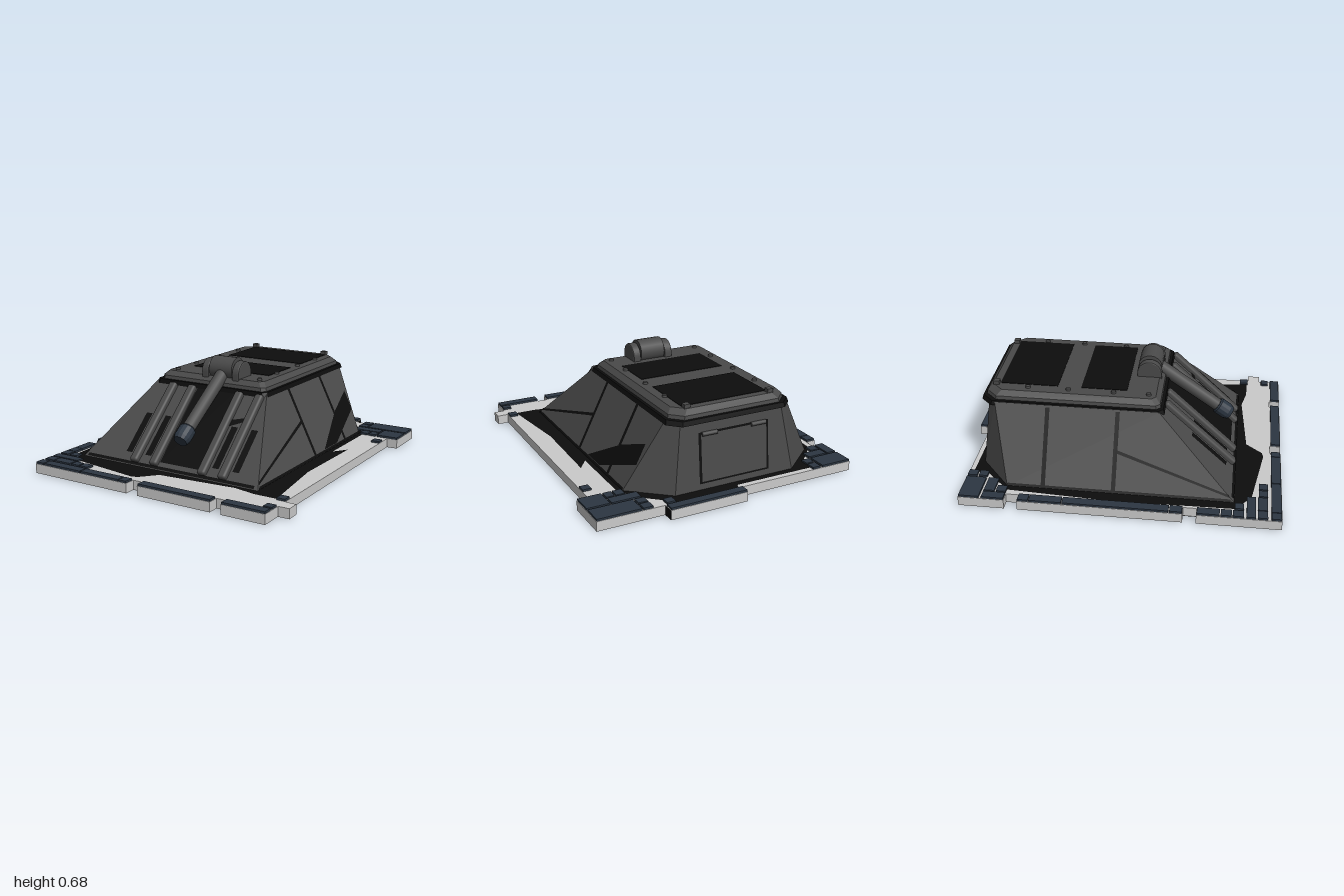
import * as THREE from 'three';
import { RoundedBoxGeometry } from 'three/addons/geometries/RoundedBoxGeometry.js';

const mat = (name, color, extra = {}) => {
  const m = new THREE.MeshStandardMaterial({ color, ...extra });
  m.name = name;
  return m;
};

export function createModel() {
  const model = new THREE.Group();
  model.name = 'armouredBunker';
  const steel = mat('darkSteel', 0x4a4a4a);
  const stone = mat('paleStone', 0xcacaca);
  const slate = mat('blueSlate', 0x2c3642);
  const black = mat('black', 0x0d0d0d, { side: THREE.DoubleSide });

  const add = (name, geo, m, x = 0, y = 0, z = 0, parent = model) => {
    const mesh = new THREE.Mesh(geo, m);
    mesh.name = name;
    mesh.position.set(x, y, z);
    parent.add(mesh);
    return mesh;
  };
  // Box given by its limits
  const block = (name, m, x0, x1, y0, y1, z0, z1) =>
    add(name, new THREE.BoxGeometry(x1 - x0, y1 - y0, z1 - z0), m, (x0 + x1) / 2, (y0 + y1) / 2, (z0 + z1) / 2);

  // Flat-sided solid through rings of [x, z] points at given heights
  const loft = (name, m, rings) => {
    const p = [];
    const v = (r, i) => { const q = r.pts[i % r.pts.length]; return [q[0], r.y, q[1]]; };
    for (let k = 0; k < rings.length - 1; k++) {
      const a = rings[k], b = rings[k + 1];
      for (let i = 0; i < a.pts.length; i++)
        p.push(...v(a, i), ...v(a, i + 1), ...v(b, i + 1), ...v(a, i), ...v(b, i + 1), ...v(b, i));
    }
    const top = rings[rings.length - 1], bot = rings[0];
    for (let i = 1; i < top.pts.length - 1; i++) {
      p.push(...v(top, 0), ...v(top, i), ...v(top, i + 1));
      p.push(...v(bot, 0), ...v(bot, i + 1), ...v(bot, i));
    }
    const g = new THREE.BufferGeometry();
    g.setAttribute('position', new THREE.Float32BufferAttribute(p, 3));
    g.computeVertexNormals();
    return add(name, g, m);
  };

  // Thin painted polygon lifted outwards off a hull face
  const heart = new THREE.Vector3(-0.065, 0.25, -0.1);
  const paint = (name, pts, m = black, lift = 0.004) => {
    const v = pts.map(q => new THREE.Vector3(...q));
    const n = v[1].clone().sub(v[0]).cross(v[2].clone().sub(v[0])).normalize();
    if (n.dot(v[0].clone().sub(heart)) < 0) { n.negate(); v.reverse(); }
    v.forEach(q => q.addScaledVector(n, lift));
    const p = [];
    for (let i = 1; i < v.length - 1; i++) p.push(...v[0], ...v[i], ...v[i + 1]);
    const g = new THREE.BufferGeometry();
    g.setAttribute('position', new THREE.Float32BufferAttribute(p, 3));
    g.computeVertexNormals();
    return add(name, g, m);
  };
  // Flat polygon of [x, z] points at height y
  const flat = (name, pts, y) => {
    const g = new THREE.ShapeGeometry(new THREE.Shape(pts.map(q => new THREE.Vector2(q[0], -q[1]))));
    return add(name, g.rotateX(-Math.PI / 2), black, 0, y, 0);
  };

  // Stone base with the blocks that stick out of its edges
  block('basePlate', stone, -0.79, 0.78, 0, 0.06, -0.93, 0.93);
  [[-0.855, -0.79, -0.93, -0.65], [0.78, 0.85, -0.93, -0.65], [-0.07, 0.43, -1, -0.93],
    [-0.855, -0.79, -0.57, 0.42], [-0.855, -0.79, 0.5, 0.93], [-0.855, -0.15, 0.93, 1],
    [-0.07, 0.43, 0.93, 1], [0.5, 0.78, 0.93, 1], [0.78, 0.85, 0.78, 0.86],
  ].forEach(([a, b, c, d]) => block('baseEdgeBlock', stone, a, b, 0, 0.06, c, d));

  // Slate paving tiles: x0, x1, z0, z1
  [[-0.855, -0.65, -0.93, -0.8], [-0.64, -0.58, -0.93, -0.865], [-0.64, -0.58, -0.86, -0.8],
    [-0.855, -0.79, -0.79, -0.65], [-0.785, -0.65, -0.79, -0.72], [-0.785, -0.72, -0.715, -0.65],
  ].forEach(t => tile(t));
  [[0.5, 0.565, -0.93, -0.865], [0.5, 0.565, -0.86, -0.8], [0.57, 0.85, -0.93, -0.8],
    [0.51, 0.695, -0.79, -0.72], [0.575, 0.635, -0.715, -0.65], [0.64, 0.695, -0.715, -0.65],
    [0.7, 0.85, -0.79, -0.65], [-0.07, 0.43, -1, -0.94], [0.36, 0.42, -0.93, -0.87],
  ].forEach(t => tile(t));
  [[-0.57, -0.5], [-0.5, -0.3], [-0.3, 0.34], [0.34, 0.42], [0.5, 0.64], [0.64, 0.71], [0.71, 0.78],
  ].forEach(([c, d]) => tile([-0.855, -0.79, c, d]));
  [[-0.78, -0.72, 0.72, 0.78], [-0.855, -0.65, 0.79, 0.85], [-0.855, -0.78, 0.855, 0.92], [-0.78, -0.65, 0.855, 0.92],
    [-0.645, -0.58, 0.86, 0.92], [-0.575, -0.51, 0.86, 0.92],
  ].forEach(t => tile(t));
  [[-0.855, -0.79], [-0.79, -0.5], [-0.5, -0.21], [-0.21, -0.15], [-0.07, 0.43], [0.5, 0.78],
  ].forEach(([a, b]) => tile([a, b, 0.935, 1]));
  [[0.87, 0.925], [0.72, 0.78], [-0.57, -0.51]].forEach(([c, d]) => tile([0.72, 0.78, c, d]));
  function tile([a, b, c, d]) {
    block('pavingTile', slate, a + 0.003, b - 0.003, 0.055, 0.073, c + 0.003, d - 0.003);
  }

  // Scorched ground on top, dark patches below and on the rear block
  flat('scorchedGround', [[-0.77, 0.72], [-0.65, 0.82], [-0.2, 0.89], [-0.16, 0.88], [-0.07, 0.78], [0.43, 0.74],
    [0.58, 0.77], [0.72, 0.77], [0.655, 0.27], [0.665, -0.27], [0.6, -0.18], [0.6, -0.66], [0.5, -0.8], [0.42, -0.87],
    [0.36, -0.93], [-0.05, -0.93], [-0.06, -0.9], [-0.58, -0.9], [-0.6, -0.8], [-0.75, -0.65], [-0.785, 0]], 0.063);
  flat('undersidePatch', [[-0.26, -0.37], [-0.79, -0.31], [-0.79, 0.77]], -0.002);
  flat('undersideStreak', [[0.35, -0.77], [0.15, -0.79], [0.05, -0.64], [0.39, 0.92], [0.43, 0.92]], -0.002);
  block('rearBlockEnd', black, 0.428, 0.433, 0.002, 0.058, -0.998, -0.935);

  // Hull: wide sloping body with cut rear corners
  const Y0 = 0.06, Y1 = 0.5;
  loft('hull', steel, [
    { y: Y0, pts: [[-0.71, 0.72], [0.57, 0.72], [0.57, -0.66], [0.33, -0.86], [-0.47, -0.86], [-0.71, -0.66]] },
    { y: Y1, pts: [[-0.46, 0.24], [0.35, 0.24], [0.35, -0.77], [0.28, -0.82], [-0.39, -0.82], [-0.46, -0.77]] },
  ]);
  const t = y => (y - Y0) / (Y1 - Y0);
  const side = (s, z, y) => [s < 0 ? -0.71 + 0.25 * t(y) : 0.57 - 0.22 * t(y), y, z];
  const front = (x, y) => [x, y, 0.72 - 0.48 * t(y)];
  const back = (x, y) => [x, y, -0.86 + 0.04 * t(y)];

  // Roof slab with bevelled edge over a dark joint
  const ring = (y, d, c = 0.07) => {
    const x0 = -0.435 + d, x1 = 0.33 - d, z0 = -0.835 + d, z1 = 0.24 - d, f = 0.025;
    return { y, pts: [[x0, z1 - f], [x0 + f, z1], [x1 - f, z1], [x1, z1 - f], [x1, z0 + c], [x1 - c, z0], [x0 + c, z0], [x0, z0 + c]] };
  };
  loft('roofJoint', black, [ring(0.48, -0.03), ring(0.508, -0.022)]);
  loft('roof', steel, [ring(0.5, -0.005), ring(0.53, 0), ring(0.56, 0.03)]);
  block('roofPanelRear', black, -0.325, 0.243, 0.557, 0.563, -0.76, -0.4);
  block('roofPanelFront', black, -0.325, 0.243, 0.557, 0.563, -0.255, 0.03);
  for (const x of [-0.36, 0.255])
    for (const z of [-0.58, -0.33, -0.05, 0.165])
      add('roofBolt', new THREE.CylinderGeometry(0.014, 0.017, 0.02, 10), steel, x, 0.563, z);
  for (const x of [-0.33, 0.225]) block('roofStud', steel, x - 0.018, x + 0.018, 0.55, 0.583, -0.8, -0.764);

  // Side seams
  for (const s of [-1, 1]) {
    for (const z of [-0.01, -0.44])
      paint('sideSeam', [side(s, z - 0.013, 0.07), side(s, z + 0.013, 0.07), side(s, z + 0.013, 0.49), side(s, z - 0.013, 0.49)]);
    paint('diagonalSeam', [side(s, 0.69, 0.085), side(s, 0, 0.272), side(s, 0, 0.29), side(s, 0.68, 0.1)]);
    paint('sideFootSeam', [side(s, 0.71, 0.064), side(s, -0.66, 0.064), side(s, -0.66, 0.078), side(s, 0.69, 0.078)]);
  }
  paint('sideScorch', [side(1, -0.14, 0.08), side(1, -0.45, 0.25), side(1, -0.69, 0.34), side(1, -0.69, 0.22), side(1, -0.32, 0.08)]);

  // Front plate: dark centre, slots and ribs
  const frontRect = (name, x0, x1, y0, y1) => paint(name, [front(x0, y0), front(x1, y0), front(x1, y1), front(x0, y1)]);
  frontRect('frontCentrePanel', -0.14, 0.14, 0.1, 0.49);
  frontRect('frontFootSeam', -0.68, 0.54, 0.066, 0.08);
  paint('frontScorch', [front(0.15, 0.3), front(0.29, 0.35), front(0.29, 0.37), front(0.15, 0.34)]);
  for (const x of [-0.392, -0.245, 0.245, 0.385]) frontRect('frontSlot', x - 0.022, x + 0.022, 0.12, 0.32);
  for (const x of [-0.32, -0.175, 0.175, 0.318]) {
    const rib = add('frontRib', new RoundedBoxGeometry(0.056, 0.6, 0.055, 2, 0.016), steel, x, 0.285, 0.482);
    rib.rotation.x = -Math.atan2(0.48, 0.44);
  }

  // Rear hatch with frame and hinges
  const backRect = (name, x0, x1, y0, y1, m, lift) => paint(name, [back(x0, y0), back(x1, y0), back(x1, y1), back(x0, y1)], m, lift);
  backRect('hatchSeam', -0.3, 0.17, 0.1, 0.41, black, 0.004);
  backRect('rearHatch', -0.285, 0.155, 0.112, 0.398, steel, 0.008);
  for (const x of [-0.23, 0.1]) {
    const hinge = add('hatchHinge', new THREE.CylinderGeometry(0.013, 0.013, 0.1, 10), steel, x, 0.4, -0.837);
    hinge.rotation.z = Math.PI / 2;
  }

  // Gun mount: two arched cheeks and a rounded drum
  const arch = new THREE.Shape();
  arch.moveTo(-0.077, -0.04);
  arch.lineTo(0.077, -0.04);
  arch.absarc(0, 0, 0.077, 0, Math.PI);
  for (const x of [-0.112, 0.112]) {
    const g = new THREE.ExtrudeGeometry(arch, { depth: 0.035, bevelSize: 0.008, bevelThickness: 0.008, bevelOffset: -0.008, bevelSegments: 2 });
    add('gunCheek', g.translate(0, 0, -0.0175).rotateY(Math.PI / 2), steel, x, 0.585, 0.145);
  }
  const drum = add('gunDrum', new THREE.CylinderGeometry(0.075, 0.075, 0.165, 20), steel, 0, 0.605, 0.145);
  drum.rotation.z = Math.PI / 2;

  // Barrel sloping down to a slate muzzle
  const gun = new THREE.Group();
  gun.name = 'gun';
  gun.position.set(0, 0.6, 0.155);
  gun.rotation.x = Math.atan2(0.48, -0.33);
  model.add(gun);
  add('barrel', new THREE.CylinderGeometry(0.04, 0.043, 0.54, 16), steel, 0, 0.27, 0, gun);
  const muzzle = [[0, 0], [0.045, 0], [0.053, 0.01], [0.053, 0.08], [0.043, 0.105], [0, 0.105]].map(q => new THREE.Vector2(...q));
  const tip = new THREE.LatheGeometry(muzzle, 14).toNonIndexed();
  tip.computeVertexNormals();
  add('muzzle', tip, slate, 0, 0.51, 0, gun);

  return model;
}
